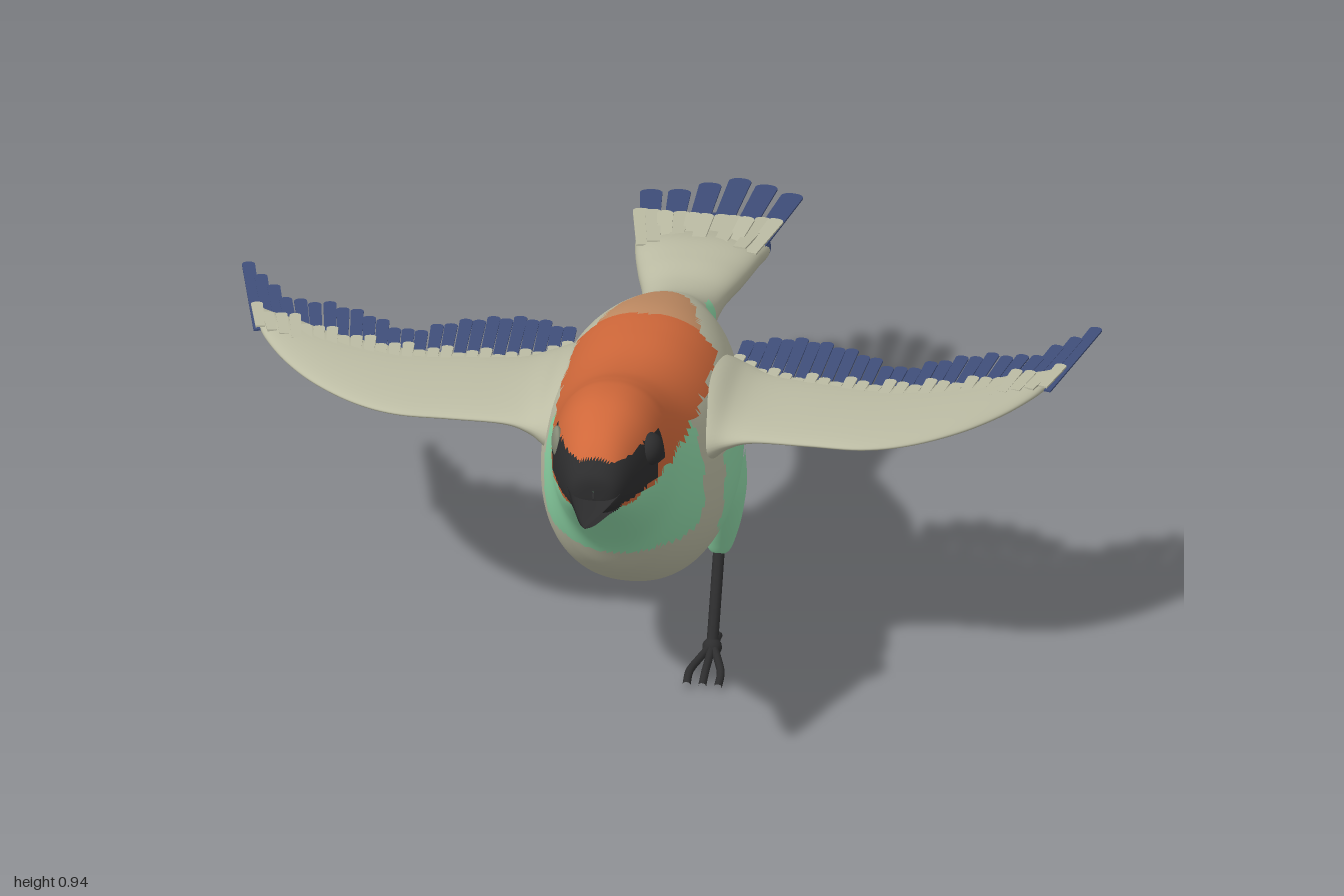
import * as THREE from 'three';
import { mergeGeometries } from 'three/addons/utils/BufferGeometryUtils.js';

const mat = (name, color, side = THREE.FrontSide) => {
  const m = new THREE.MeshStandardMaterial({ color, side });
  m.name = name;
  return m;
};
const V = (x, y, z) => new THREE.Vector3(x, y, z);

// Smooth interpolation of one column of a row table
function sample(rows, u, k) {
  const i = Math.min(Math.floor(u), rows.length - 2), f = u - i;
  const at = (j) => rows[Math.max(0, Math.min(rows.length - 1, j))][k];
  const [a, b, c, d] = [at(i - 1), at(i), at(i + 1), at(i + 2)];
  return b + 0.5 * f * (c - a + f * (2 * a - 5 * b + 4 * c - d + f * (3 * (b - c) + d - a)));
}

// Skin through cross-sections; paint(x, y, z) picks the material index of each face
function loft(rows, ring, { around = 48, steps = 8, flip = false, paint = () => 0, count = 1 } = {}) {
  const pos = [], n = (rows.length - 1) * steps;
  for (let i = 0; i <= n; i++) {
    const row = rows[0].map((_, k) => sample(rows, i / steps, k));
    for (let j = 0; j < around; j++) pos.push(...ring(row, (j / around) * Math.PI * 2));
  }
  const faces = Array.from({ length: count }, () => []);
  const add = (a, b, c) => {
    const mid = [0, 1, 2].map((k) => (pos[a * 3 + k] + pos[b * 3 + k] + pos[c * 3 + k]) / 3);
    faces[paint(...mid)].push(...(flip ? [a, c, b] : [a, b, c]));
  };
  for (let i = 0; i < n; i++) for (let j = 0; j < around; j++) {
    const a = i * around + j, b = i * around + (j + 1) % around;
    add(a, a + around, b);
    add(b, a + around, b + around);
  }
  const g = new THREE.BufferGeometry();
  g.setAttribute('position', new THREE.Float32BufferAttribute(pos, 3));
  g.setIndex(faces.flat());
  let start = 0;
  faces.forEach((f, k) => { g.addGroup(start, f.length, k); start += f.length; });
  g.computeVertexNormals();
  return g;
}

// Body ring: rows are [z, top, bottom, half width, widest height]
const bodyRing = ([z, top, bot, w, mid], t) => {
  const c = Math.cos(t), s = Math.sin(t), p = (v) => Math.sign(v) * Math.abs(v) ** 0.9;
  return [w * p(c), mid + (s > 0 ? top - mid : mid - bot) * p(s), z];
};

// Thin round-ended feather lying from p to q
function feather(p, q, width) {
  const L = p.distanceTo(q), r = width / 2, s = new THREE.Shape();
  s.moveTo(-r * 0.8, 0).lineTo(r * 0.8, 0).lineTo(r, L - r * 0.6);
  s.quadraticCurveTo(r * 0.8, L, 0, L).quadraticCurveTo(-r * 0.8, L, -r, L - r * 0.6);
  const g = new THREE.ExtrudeGeometry(s, { depth: 0.004, bevelEnabled: false, curveSegments: 4 });
  const d = q.clone().sub(p).normalize(), side = d.clone().cross(V(0, 1, 0)).normalize();
  return g.applyMatrix4(new THREE.Matrix4().makeBasis(side, d, side.clone().cross(d)).setPosition(p));
}

const tube = (pts, r) => new THREE.TubeGeometry(new THREE.CatmullRomCurve3(pts), 16, r, 10);

export function createModel() {
  const bird = new THREE.Group();
  bird.name = 'bird';
  const cream = mat('cream', 0xbcbca4), orange = mat('orange', 0xd0683a), tan = mat('tan', 0xc48e65);
  const green = mat('green', 0x8fd8a8), black = mat('black', 0x2d2d2e), navy = mat('navy', 0x3f4e7a);
  const grey = mat('eye grey', 0x848976);
  const add = (name, geo, material, parent = bird) => {
    const m = new THREE.Mesh(geo, material);
    m.name = name;
    parent.add(m);
    return m;
  };

  // Body with head and tail, painted in plumage zones
  const bodyRows = [
    [0.87, 0.81, 0.79, 0.002, 0.8], [0.86, 0.85, 0.755, 0.05, 0.8], [0.8, 0.908, 0.7, 0.085, 0.79],
    [0.7, 0.94, 0.615, 0.118, 0.78], [0.61, 0.937, 0.53, 0.134, 0.75], [0.54, 0.915, 0.435, 0.148, 0.68],
    [0.44, 0.876, 0.355, 0.178, 0.6], [0.33, 0.853, 0.29, 0.203, 0.56], [0.2, 0.845, 0.25, 0.214, 0.54],
    [0.1, 0.835, 0.24, 0.214, 0.54], [0.01, 0.815, 0.25, 0.2, 0.55], [-0.1, 0.775, 0.33, 0.165, 0.57],
    [-0.2, 0.73, 0.425, 0.118, 0.58], [-0.3, 0.675, 0.51, 0.084, 0.59], [-0.4, 0.65, 0.548, 0.092, 0.6],
    [-0.5, 0.65, 0.547, 0.118, 0.6], [-0.6, 0.643, 0.542, 0.14, 0.6], [-0.7, 0.615, 0.53, 0.148, 0.58],
    [-0.8, 0.585, 0.538, 0.11, 0.565], [-0.86, 0.565, 0.552, 0.05, 0.56], [-0.87, 0.56, 0.558, 0.002, 0.559],
  ];
  const bodyPaint = (x, y, z) => {
    const ax = Math.abs(x), wob = 0.008 * Math.sin(z * 60) + 0.006 * Math.sin(y * 75);
    if (z > 0.65 && y > 0.768 && y < 0.868 && (z > 0.7 || Math.abs(y - 0.83) < 0.035)) return 4;
    if (z > 0.84) return 4;
    if (z > 0.1 + wob && y > 0.758 + wob * 0.5) return 1;
    if (z <= 0.1 + wob && z > -0.18 && y > 0.6 && ax < 0.105 * Math.sqrt((z + 0.18) / 0.28) + 0.01) return 2;
    if (z > 0.43 + wob && y > 0.505 + wob * 0.5) return 3;
    const upper = 0.62 - 0.1 * Math.min(0, z);
    if (z < 0.31 + wob && z > -0.34 && y < upper + wob && y > 0.2 + 0.75 * Math.max(0, z) && (ax > 0.1 || z < -0.03)) return 3;
    if (z < -0.67 + wob && y < 0.605) return 5;
    return 0;
  };
  add('body', loft(bodyRows, bodyRing, { around: 72, paint: bodyPaint, count: 6 }),
    [cream, orange, tan, green, black, navy]);

  // Slightly open beak
  add('upperBeak', loft([[0.83, 0.872, 0.785, 0.068, 0.81], [0.88, 0.852, 0.786, 0.05, 0.8],
    [0.95, 0.825, 0.788, 0.026, 0.795], [0.99, 0.802, 0.788, 0.008, 0.792], [1, 0.792, 0.788, 0.001, 0.79]],
  bodyRing, { around: 24 }), black);
  add('lowerBeak', loft([[0.83, 0.785, 0.742, 0.062, 0.77], [0.88, 0.777, 0.75, 0.042, 0.77],
    [0.95, 0.777, 0.765, 0.018, 0.772], [0.985, 0.78, 0.778, 0.001, 0.779]], bodyRing, { around: 24 }), black);

  // Eyes: a bulging dark one and a flat pale one
  for (const s of [1, -1]) {
    const eye = add(s > 0 ? 'leftEye' : 'rightEye', new THREE.SphereGeometry(0.038, 24, 16), s > 0 ? black : grey);
    eye.position.set(s * (s > 0 ? 0.1 : 0.105), 0.838, 0.71);
    eye.scale.set(s > 0 ? 0.8 : 0.35, 1, s > 0 ? 1 : 0.8);
    eye.rotation.y = s * -0.25;
  }

  // Wings: rows are [x, leading z, trailing z, top, bottom]
  const wingRows = [
    [0.1, 0.42, 0.02, 0.77, 0.56], [0.17, 0.41, 0.01, 0.755, 0.585], [0.22, 0.388, 0.03, 0.725, 0.635],
    [0.28, 0.377, 0.07, 0.712, 0.664], [0.4, 0.375, 0.08, 0.708, 0.668], [0.52, 0.372, 0.08, 0.706, 0.668],
    [0.62, 0.335, 0.06, 0.705, 0.668], [0.72, 0.262, 0.03, 0.704, 0.67], [0.8, 0.172, -0.015, 0.702, 0.672],
    [0.86, 0.075, -0.04, 0.7, 0.675], [0.89, 0, -0.055, 0.697, 0.678], [0.9, -0.035, -0.05, 0.688, 0.686],
  ];
  const tipZ = [[-0.07], [-0.1], [-0.09], [-0.055], [-0.005], [-0.06], [-0.1], [-0.115], [-0.25]];
  const edge = (x, k) => {
    let i = 0;
    while (i < wingRows.length - 2 && wingRows[i + 1][0] < x) i++;
    return THREE.MathUtils.mapLinear(x, wingRows[i][0], wingRows[i + 1][0], wingRows[i][k], wingRows[i + 1][k]);
  };
  for (const s of [1, -1]) {
    const wing = new THREE.Group();
    wing.name = s > 0 ? 'leftWing' : 'rightWing';
    bird.add(wing);
    const ring = ([x, zl, zt, top, bot], t) =>
      [s * x, (top + bot) / 2 + Math.sin(t) * (top - bot) / 2, (zl + zt) / 2 + Math.cos(t) * (zl - zt) / 2];
    const paint = (x, y, z) => {
      const ax = Math.abs(x), lead = edge(ax, 1), chord = lead - edge(ax, 2);
      return y < 0.684 && z < lead - chord * 0.52 + 0.012 * Math.sin(ax * 50) ? 1 : 0;
    };
    add('wingSurface', loft(wingRows, ring, { around: 56, steps: 6, flip: s < 0, paint, count: 2 }), [cream, navy], wing);

    // Flight feathers under a row of shorter cover feathers
    const flight = [], cover = [];
    for (let i = 0; i < 25; i++) {
      const f = i / 24, x = 0.19 + 0.69 * f, fan = 0.06 * f ** 3 + 0.01;
      const z = edge(x, 2), end = sample(tipZ, f * 8, 0) + (i % 2) * 0.012;
      flight.push(feather(V(s * x, 0.684, z + 0.09), V(s * (x + fan), 0.69, end), 0.029));
      cover.push(feather(V(s * (x - 0.005), 0.699, z + 0.1), V(s * (x + fan * 0.3), 0.696, z - 0.012 + (i % 3) * 0.014), 0.026));
    }
    add('flightFeathers', mergeGeometries(flight), navy, wing);
    add('coverFeathers', mergeGeometries(cover), cream, wing);
  }

  // Tail fan
  const tailTips = [-0.92, -0.93, -0.97, -1, -0.98, -0.95];
  add('tailFeathers', mergeGeometries(tailTips.map((z, i) => {
    const x = -0.155 + i * 0.063;
    return feather(V(x * 0.75, 0.6, -0.65), V(x, 0.575, z), 0.05);
  })), navy);
  const tabs = [];
  for (let i = 0; i < 11; i++) {
    const x = -0.15 + i * 0.03;
    tabs.push(feather(V(x * 0.8, 0.625 + (i % 2) * 0.012, -0.58), V(x * 1.03, 0.61 + (i % 3) * 0.012, -0.77 + (i % 3) * 0.022), 0.036));
  }
  add('tailCoverFeathers', mergeGeometries(tabs), cream);

  // Thighs, tapering from the flank to the ankle
  for (const s of [1, -1]) {
    const rows = [[0.48, 0.15, 0.06, 0.11], [0.4, 0.158, 0.055, 0.095], [0.32, 0.157, 0.046, 0.065],
      [0.26, 0.152, 0.036, 0.04], [0.22, 0.15, 0.022, 0.02], [0.21, 0.15, 0.001, 0.001]];
    const ring = ([y, x, rx, rz], t) =>
      [s * x + rx * Math.cos(t), y, 0.035 + (y - 0.21) * 0.12 - rz * Math.sin(t)];
    add(s > 0 ? 'leftThigh' : 'rightThigh', loft(rows, ring, { around: 28, flip: true }), green)
      .geometry.index.array.reverse();
  }

  // Single standing leg with three front toes and one back toe
  const leg = [tube([V(0.15, 0.25, 0.03), V(0.15, 0.16, 0.075), V(0.15, 0.08, 0.115), V(0.15, 0.025, 0.145)], 0.013)];
  for (const dx of [-0.035, 0, 0.035])
    leg.push(tube([V(0.15, 0.035, 0.135), V(0.15 + dx * 0.6, 0.026, 0.19), V(0.15 + dx, 0.02, 0.24), V(0.15 + dx, 0.008, 0.28)], 0.009));
  leg.push(tube([V(0.15, 0.035, 0.145), V(0.15, 0.02, 0.1), V(0.15, 0.01, 0.05)], 0.009));
  const foot = new THREE.SphereGeometry(0.022, 16, 12).translate(0.15, 0.03, 0.14);
  add('leftLeg', mergeGeometries([...leg, foot]), black);
  return bird;
}
